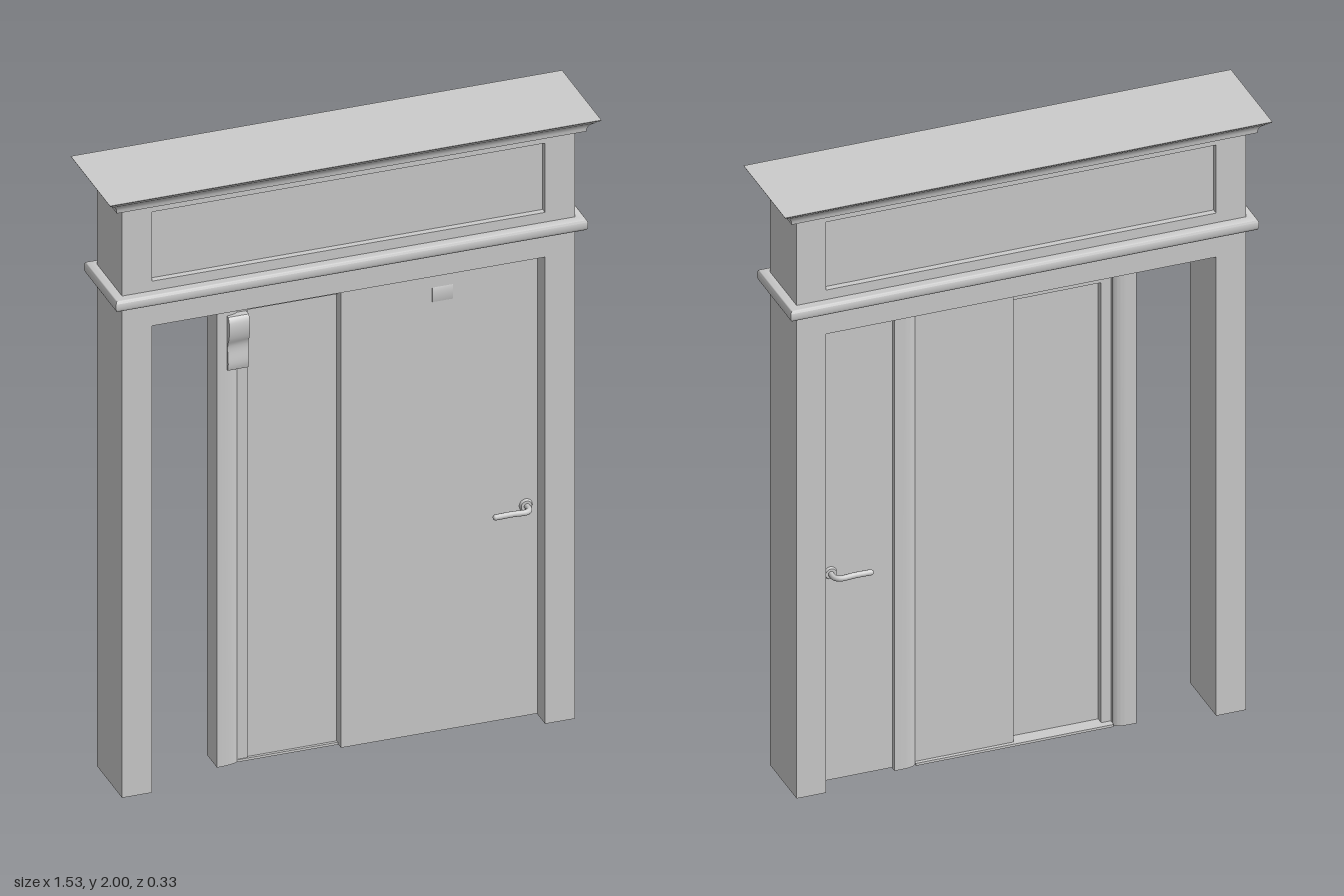
import * as THREE from 'three';
import { toCreasedNormals } from 'three/addons/utils/BufferGeometryUtils.js';

const grey = new THREE.MeshStandardMaterial({ color: 0xcccccc });

export function createModel() {
  const model = new THREE.Group();

  function add(name, geometry, parent = model) {
    const mesh = new THREE.Mesh(geometry, grey);
    mesh.name = name;
    parent.add(mesh);
    return mesh;
  }
  // box given by its extents
  function box(name, x0, x1, y0, y1, z0, z1, parent) {
    const g = new THREE.BoxGeometry(x1 - x0, y1 - y0, z1 - z0);
    g.translate((x0 + x1) / 2, (y0 + y1) / 2, (z0 + z1) / 2);
    return add(name, g, parent);
  }
  const outline = (pts) => pts.map(([x, y]) => new THREE.Vector2(x, y));
  const extrude = (shape, depth) =>
    new THREE.ExtrudeGeometry(shape, { depth, bevelEnabled: false, curveSegments: 8 });

  // rectangular moulding running round the frame; rows are [outset, y]
  function moulding(name, rows) {
    const W = 0.705, D = 0.105, pos = [];
    const corners = ([o, y]) => [
      [W + o, y, D + o], [W + o, y, -D - o], [-W - o, y, -D - o], [-W - o, y, D + o]];
    const quad = (a, b, c, d) => pos.push(...a, ...b, ...c, ...a, ...c, ...d);
    for (let i = 0; i < rows.length - 1; i++) {
      const lo = corners(rows[i]), hi = corners(rows[i + 1]);
      for (let k = 0; k < 4; k++) {
        const n = (k + 1) % 4;
        quad(lo[k], lo[n], hi[n], hi[k]);
      }
    }
    const top = corners(rows[rows.length - 1]), bottom = corners(rows[0]);
    quad(...top);
    quad(...bottom.reverse());
    const g = new THREE.BufferGeometry();
    g.setAttribute('position', new THREE.Float32BufferAttribute(pos, 3));
    add(name, toCreasedNormals(g, 0.7));
  }

  // outer frame: front and back skins with a sunk panel, over a solid core
  const arch = [[-0.705, 0], [-0.612, 0], [-0.612, 1.545], [0.612, 1.545],
    [0.612, 0], [0.705, 0], [0.705, 1.955], [-0.705, 1.955]];
  const skin = new THREE.Shape(outline(arch));
  skin.holes.push(new THREE.Path(outline(
    [[-0.612, 1.693], [-0.612, 1.922], [0.612, 1.922], [0.612, 1.693]])));
  const core = extrude(new THREE.Shape(outline(arch)), 0.17);
  core.translate(0, 0, -0.085);
  add('frameCore', core);
  for (const z of [0.085, -0.105]) {
    const g = extrude(skin, 0.02);
    g.translate(0, 0, z);
    add(z > 0 ? 'frameFront' : 'frameBack', g);
  }

  // half-round belt and flared cornice
  const belt = [[0, 1.625], [0.024, 1.625]];
  for (let i = 0; i <= 6; i++) {
    const a = -Math.PI / 2 + (i / 6) * Math.PI;
    belt.push([0.024 + 0.006 * Math.cos(a), 1.643 + 0.018 * Math.sin(a)]);
  }
  belt.push([0, 1.661]);
  moulding('beltMoulding', belt);
  moulding('cornice', [[0, 1.952], [0.026, 1.952], [0.027, 1.962], [0.03, 1.97],
    [0.036, 1.978], [0.043, 1.984], [0.048, 1.987], [0.05, 1.993], [0.058, 1.996], [0.06, 2]]);

  // sliding door leaf and the thin fixed panel beside it
  box('doorLeaf', 0, 0.612, 0.003, 1.543, -0.043, 0.042);
  box('fixedPanel', -0.285, 0.001, 0.005, 1.5, -0.008, 0.006);
  box('threshold', -0.31, 0.31, 0, 0.008, -0.055, 0.015);

  // inner door casing: moulded jambs on both sides, with scroll brackets
  for (const s of [-1, 1]) {
    const side = new THREE.Group();
    side.name = s < 0 ? 'rightJamb' : 'leftJamb';
    model.add(side);

    const casing = new THREE.Shape();
    casing.moveTo(0.31, 0.008);
    casing.quadraticCurveTo(0.318, 0.025, 0.38, 0.026);
    casing.lineTo(0.38, -0.06);
    casing.lineTo(0.345, -0.06);
    casing.quadraticCurveTo(0.318, -0.058, 0.31, -0.045);
    casing.closePath();
    const g = extrude(casing, 1.545);
    // profile plan (x, z) turned upright
    g.rotateX(-Math.PI / 2);
    g.scale(1, 1, -1);
    if (s < 0) g.scale(-1, 1, 1);
    // one mirror reverses the faces, two restore them
    if (s > 0) flip(g);
    add('casing', toCreasedNormals(g, 0.6), side);
    box('stop', s < 0 ? -0.312 : 0.28, s < 0 ? -0.28 : 0.312, 0, 1.52, -0.032, 0.012, side);

    // bracket: S-curved side profile, extruded across
    const scroll = new THREE.Shape();
    scroll.moveTo(0, 1.31);
    scroll.lineTo(0.03, 1.31);
    scroll.bezierCurveTo(0.042, 1.34, 0.022, 1.37, 0.032, 1.4);
    scroll.bezierCurveTo(0.046, 1.42, 0.052, 1.47, 0.034, 1.488);
    scroll.lineTo(0, 1.488);
    const b = extrude(scroll, 0.064);
    b.rotateY(-Math.PI / 2);
    b.translate(s * 0.316 + 0.032, 0, 0);
    add('scrollBracket', toCreasedNormals(b, 0.6), side);
  }
  box('headStop', -0.312, 0.312, 1.49, 1.525, -0.032, 0.012);

  // head casing with a sloping underside
  const head = new THREE.Shape(outline(
    [[-0.06, 1.56], [-0.06, 1.54], [-0.045, 1.522], [0.008, 1.522], [0.043, 1.54], [0.043, 1.56]]));
  const hg = extrude(head, 0.74);
  hg.rotateY(-Math.PI / 2);
  hg.translate(0.37, 0, 0);
  add('headCasing', hg);

  // lever handle on each face of the leaf
  for (const s of [1, -1]) {
    const handle = new THREE.Group();
    handle.name = s > 0 ? 'frontHandle' : 'backHandle';
    handle.position.set(0.575, 0.7, s * 0.042);
    if (s < 0) handle.scale.z = -1;
    model.add(handle);
    const rose = new THREE.CylinderGeometry(0.017, 0.021, 0.01, 20);
    rose.rotateX(Math.PI / 2);
    rose.translate(0, 0, 0.004);
    add('rose', rose, handle);
    const path = new THREE.CatmullRomCurve3([
      [0, 0, 0], [0, 0, 0.03], [-0.012, 0, 0.043], [-0.06, 0.003, 0.046], [-0.11, 0.001, 0.044],
    ].map((p) => new THREE.Vector3(...p)));
    add('lever', new THREE.TubeGeometry(path, 24, 0.009, 10), handle);
    const tip = new THREE.SphereGeometry(0.009, 10, 8);
    tip.translate(-0.11, 0.001, 0.044);
    add('leverTip', tip, handle);
  }
  return model;
}

// reverses the winding of an unindexed geometry
function flip(g) {
  const p = g.attributes.position;
  const a = new THREE.Vector3(), b = new THREE.Vector3();
  for (let i = 0; i < p.count; i += 3) {
    a.fromBufferAttribute(p, i);
    b.fromBufferAttribute(p, i + 1);
    p.setXYZ(i, b.x, b.y, b.z);
    p.setXYZ(i + 1, a.x, a.y, a.z);
  }
}
